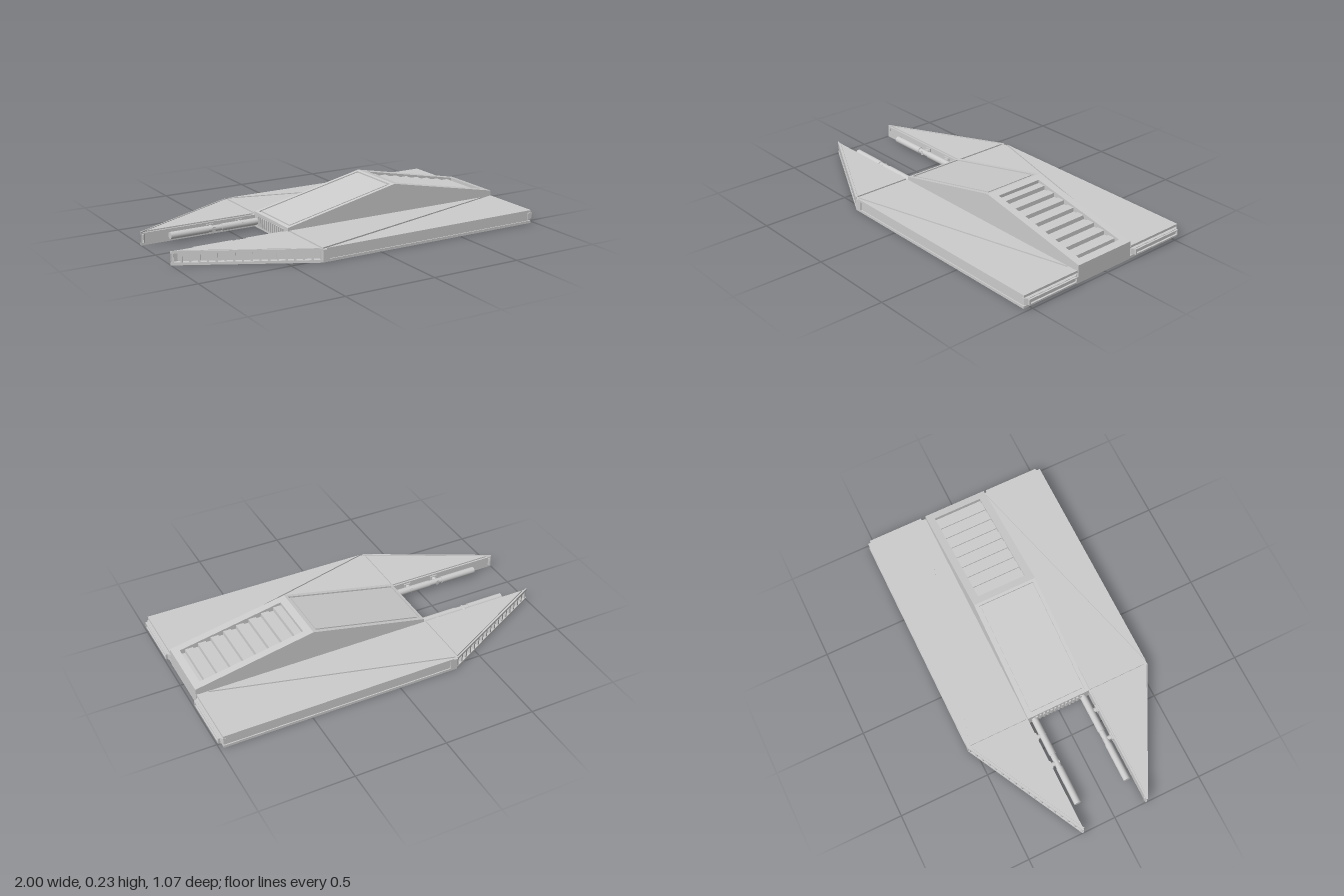
import * as THREE from 'three';

const material = new THREE.MeshStandardMaterial({ color: 0xcccccc });

function addMesh(parent, geometry, name) {
  const mesh = new THREE.Mesh(geometry, material);
  mesh.name = name;
  parent.add(mesh);
  return mesh;
}

function addBox(parent, name, size, position) {
  const mesh = addMesh(parent, new THREE.BoxGeometry(...size), name);
  mesh.position.set(...position);
  return mesh;
}

const toShape = (points) => new THREE.Shape(points.map(([a, b]) => new THREE.Vector2(a, b)));

// Side profile (x, y) extruded from z0 to z1
function slab(parent, name, points, z0, z1) {
  const geometry = new THREE.ExtrudeGeometry(toShape(points), { depth: z1 - z0, bevelEnabled: false });
  geometry.translate(0, 0, z0);
  return addMesh(parent, geometry, name);
}

// Plan outline (x, z) extruded from y0 to y1; side mirrors it in z
function plate(parent, name, points, y0, y1, side) {
  const outline = toShape(points.map(([x, z]) => [x, z * side]));
  const geometry = new THREE.ExtrudeGeometry(outline, { depth: y1 - y0, bevelEnabled: false });
  geometry.rotateX(Math.PI / 2);
  geometry.translate(0, y1, 0);
  return addMesh(parent, geometry, name);
}

// Heights of the two sloping hull roofs
const noseRoof = (x) => 0.085 + ((x + 0.34) * 0.145) / 0.66;
const tailRoof = (x) => 0.23 - ((x - 0.32) * 0.13) / 0.66;

function createHull() {
  const hull = new THREE.Group();
  hull.name = 'hull';
  const base = [[-0.34, 0], [0.98, 0], [0.98, 0.1]];
  const ridge = [0.32, 0.23];
  const nose = [-0.34, 0.085];
  const drop = 0.008;

  // Shallow hatch recess along the nose roof
  const hatchRecess = [
    [0.305, noseRoof(0.305)], [0.305, noseRoof(0.305) - drop],
    [-0.325, noseRoof(-0.325) - drop], [-0.325, noseRoof(-0.325)],
  ];

  // Louvred recess in the tail roof, stepping down toward the rear
  const louvres = [[0.94, tailRoof(0.94)]];
  const steps = 8;
  const pitch = 0.58 / steps;
  for (let i = steps - 1; i >= 0; i--) {
    const x = 0.36 + i * pitch;
    const low = tailRoof(x + pitch) - 0.026;
    const high = tailRoof(x) - 0.018;
    louvres.push([x + pitch, low], [x + pitch * 0.62, low], [x + pitch * 0.6, high], [x, high]);
  }
  louvres.push([0.36, tailRoof(0.36)]);

  slab(hull, 'hullCentre', [...base, ...louvres, ridge, ...hatchRecess, nose], -0.14, 0.14);
  for (const s of [1, -1]) {
    const span = (a, b) => (s > 0 ? [a, b] : [-b, -a]);
    slab(hull, 'hullShoulder', [...base, ridge, ...hatchRecess, nose], ...span(0.14, 0.162));
    slab(hull, 'hullSide', [...base, ridge, nose], ...span(0.162, 0.182));
  }

  // Hatch panel, leaving a narrow groove all round
  slab(hull, 'hatchPanel', [
    [-0.312, noseRoof(-0.312) - 0.012], [0.294, noseRoof(0.294) - 0.012],
    [0.294, noseRoof(0.294) - 0.001], [-0.312, noseRoof(-0.312) - 0.001],
  ], -0.152, 0.152);

  // Upright ribs across the nose face
  for (let i = 0; i < 13; i++) {
    addBox(hull, 'noseRib', [0.01, 0.055, 0.01], [-0.343, 0.042, (i - 6) * 0.022]);
  }
  return hull;
}

function createWing(side) {
  const wing = new THREE.Group();
  wing.name = side > 0 ? 'frontWing' : 'backWing';
  const outline = [[-1, 0.182], [-1, 0.189], [-0.34, 0.537], [0.978, 0.537], [0.978, 0.182]];

  // Upper and lower skins with a slightly inset core
  plate(wing, 'lowerSkin', outline, 0, 0.014, side);
  plate(wing, 'upperSkin', outline, 0.06, 0.066, side);
  plate(wing, 'core', [
    [-1, 0.182], [-0.96, 0.182], [-0.34, 0.51], [-0.34, 0.537], [-0.3, 0.537],
    [-0.3, 0.531], [0.968, 0.531], [0.968, 0.182],
  ], 0.014, 0.06, side);

  // Raised top panels separated by grooves
  plate(wing, 'leadingPanel', [[-0.966, 0.191], [-0.349, 0.191], [-0.349, 0.518]], 0.066, 0.073, side);
  plate(wing, 'middlePanel', [[-0.334, 0.191], [0.915, 0.191], [-0.334, 0.523]], 0.066, 0.073, side);
  plate(wing, 'outerPanel', [[-0.32, 0.537], [0.978, 0.537], [0.978, 0.188], [0.97, 0.188]], 0.066, 0.073, side);
  plate(wing, 'edgeRim', [[-1, 0.182], [-1, 0.189], [-0.34, 0.537], [-0.34, 0.53], [-0.99, 0.186]], 0.066, 0.073, side);

  // Ribs along the swept leading edge
  const dx = 0.66, dz = 0.348;
  const ribs = 17;
  for (let i = 0; i <= ribs; i++) {
    const t = 0.012 + (0.976 * i) / ribs;
    const rib = addBox(wing, 'edgeRib', [0.011, 0.046, 0.016],
      [-1 + dx * t + 0.005, 0.037, side * (0.189 + dz * t - 0.009)]);
    rib.rotation.y = -side * Math.atan2(dz, dx);
  }

  // Tail bar with chamfered corners and a framed slot
  plate(wing, 'tailBar', [[0.96, 0.19], [0.978, 0.19], [0.99, 0.205], [0.99, 0.518], [0.978, 0.535], [0.96, 0.535]],
    0.02, 0.056, side);
  for (const y of [0.025, 0.051]) {
    addBox(wing, 'tailFrameRail', [0.012, 0.006, 0.315], [0.994, y, side * 0.362]);
  }
  for (const z of [0.208, 0.516]) {
    addBox(wing, 'tailFrameEnd', [0.012, 0.026, 0.008], [0.994, 0.038, side * z]);
  }
  return wing;
}

function createCannon(side) {
  const cannon = new THREE.Group();
  cannon.name = 'cannon';
  const tube = (name, x0, x1, radius) => {
    const geometry = new THREE.CylinderGeometry(radius, radius, x1 - x0, 16);
    geometry.rotateZ(Math.PI / 2);
    addMesh(cannon, geometry, name).position.set((x0 + x1) / 2, 0.04, side * 0.145);
  };
  tube('barrel', -0.855, -0.34, 0.016);
  tube('muzzleSleeve', -0.855, -0.64, 0.019);
  tube('breechSleeve', -0.56, -0.35, 0.019);

  // Struts holding the barrel to the wing
  for (const x of [-0.61, -0.44]) {
    const strut = new THREE.CylinderGeometry(0.013, 0.013, 0.06, 12);
    strut.rotateX(Math.PI / 2);
    addMesh(cannon, strut, 'cannonStrut').position.set(x, 0.04, side * 0.16);
    addBox(cannon, 'strutFoot', [0.04, 0.034, 0.008], [x, 0.04, side * 0.179]);
  }
  return cannon;
}

export function createModel() {
  const model = new THREE.Group();
  model.name = 'spacecraft';
  model.add(createHull());
  for (const side of [1, -1]) model.add(createWing(side), createCannon(side));
  return model;
}
